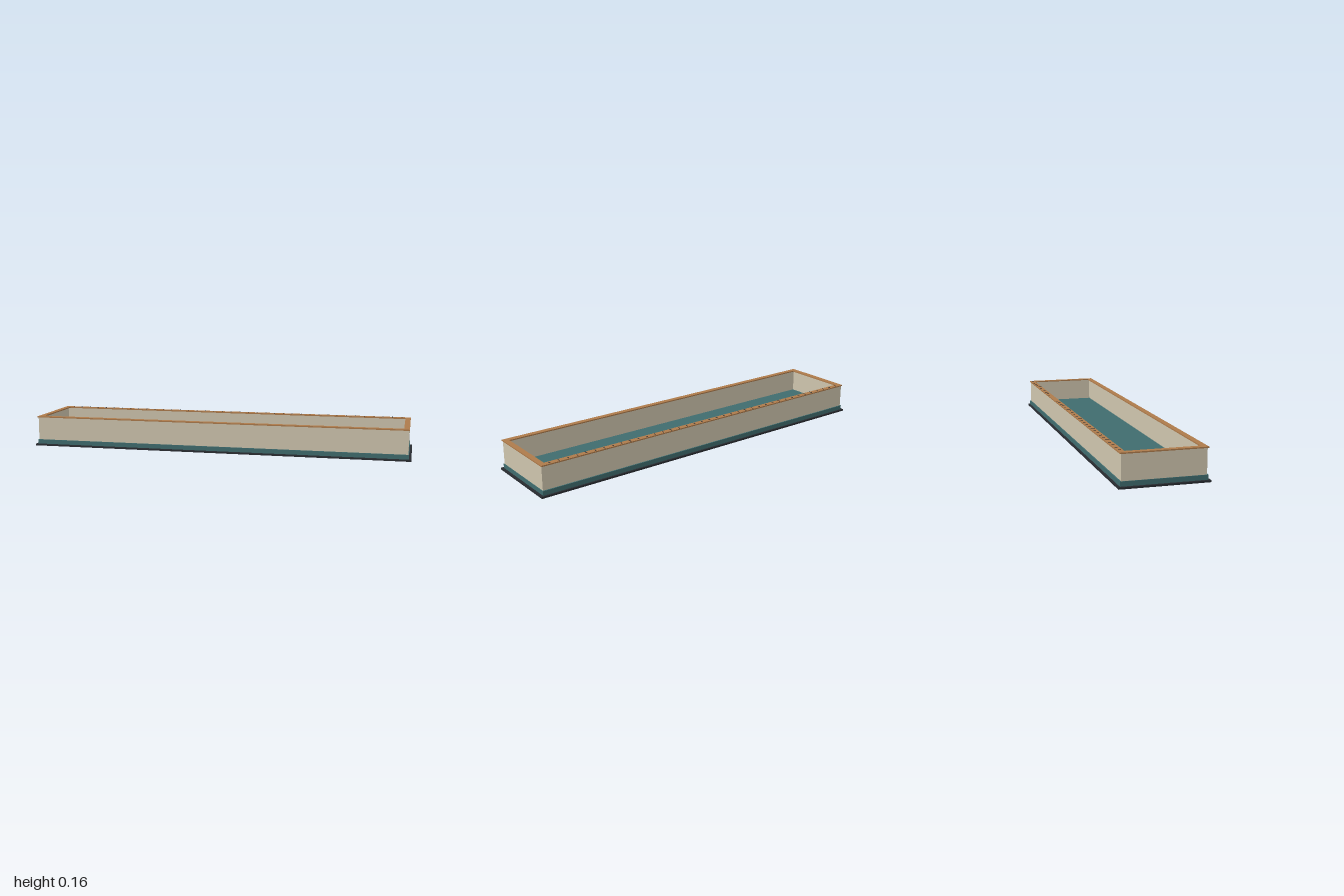
import * as THREE from 'three';

const material = (name, color) => {
  const m = new THREE.MeshStandardMaterial({ color });
  m.name = name;
  return m;
};

export function createModel() {
  const model = new THREE.Group();
  model.name = 'shallowTray';
  const charcoal = material('charcoal', 0x282b30);
  const teal = material('teal', 0x3f6c6e);
  const cream = material('cream', 0xcfc5ae);
  const wood = material('wood', 0xae7b4b);

  // Box standing on y0
  const box = (name, mat, w, h, d, x, y0, z, parent = model) => {
    const mesh = new THREE.Mesh(new THREE.BoxGeometry(w, h, d), mat);
    mesh.position.set(x, y0 + h / 2, z);
    mesh.name = name;
    parent.add(mesh);
  };

  // Plinth and floor slab
  box('plinth', charcoal, 2, 0.009, 0.428, 0, 0, 0);
  box('floorSlab', teal, 1.976, 0.023, 0.408, 0, 0.009, 0);

  // Four thin walls
  const t = 0.01;
  for (const s of [-1, 1]) {
    box(s > 0 ? 'frontWall' : 'backWall', cream, 1.97, 0.121, t, 0, 0.032, s * (0.198 - t / 2));
    box(s > 0 ? 'leftWall' : 'rightWall', cream, t, 0.121, 0.396 - 2 * t, s * (0.985 - t / 2), 0.032, 0);
  }

  // Wooden rim overhanging the walls on both sides
  const rim = new THREE.Group();
  rim.name = 'rim';
  model.add(rim);
  const w = 0.028;
  for (const s of [-1, 1]) {
    box(s > 0 ? 'frontRim' : 'backRim', wood, 1.976, 0.006, w, 0, 0.153, s * (0.204 - w / 2), rim);
    box(s > 0 ? 'leftRim' : 'rightRim', wood, w, 0.006, 0.408 - 2 * w, s * (0.988 - w / 2), 0.153, 0, rim);
  }

  // Scale marks along the back rim, every fifth one longer
  const marks = new THREE.Group();
  marks.name = 'scaleMarks';
  model.add(marks);
  for (let i = -19; i <= 19; i++) {
    const length = i % 5 === 0 ? 0.02 : 0.013;
    box('scaleMark', charcoal, 0.004, 0.0015, length, i * 0.0495, 0.159, -0.199 + length / 2, marks);
  }
  return model;
}
